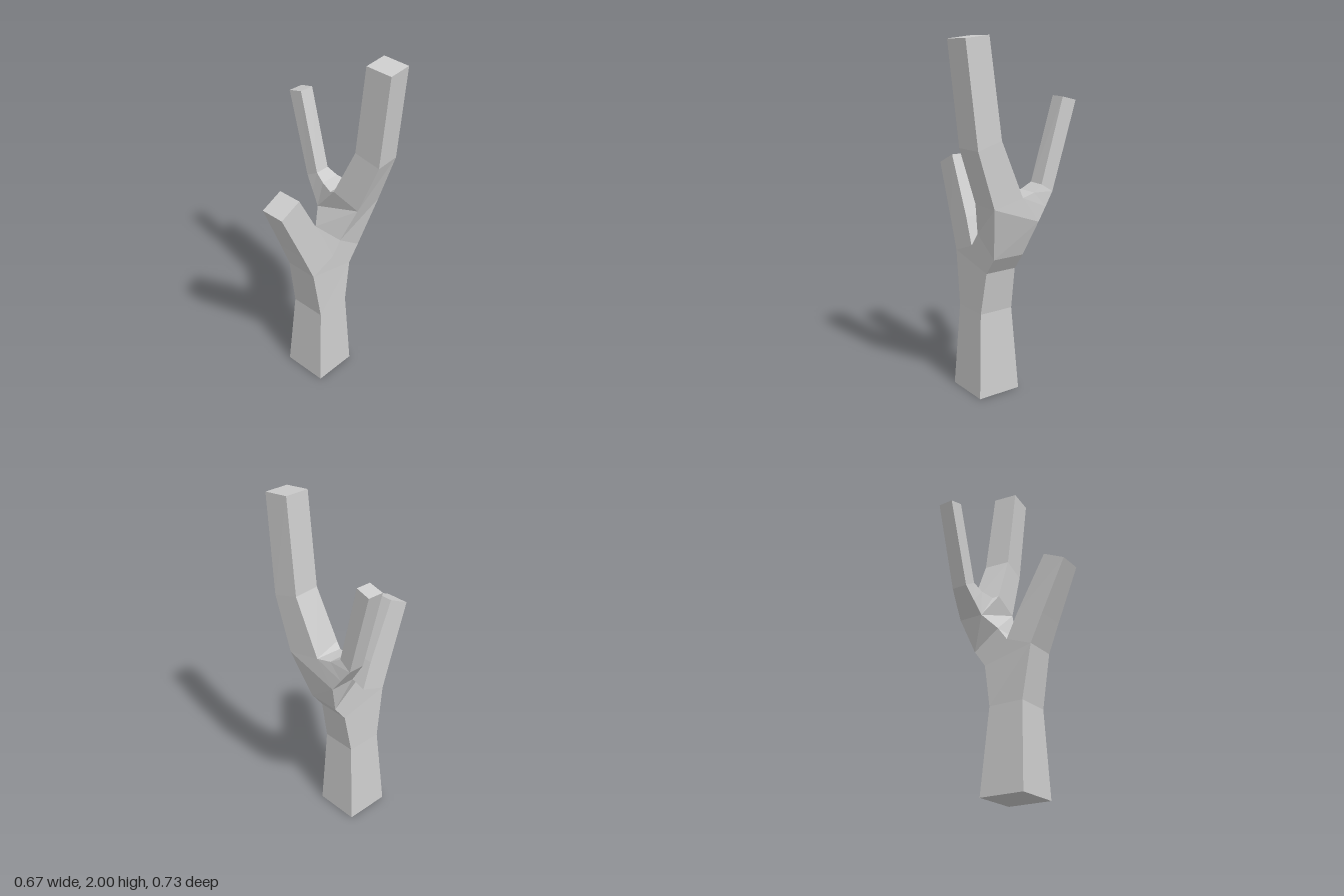
import * as THREE from 'three';

const material = new THREE.MeshStandardMaterial({ color: 0xcccccc, flatShading: true });

// Four-cornered ring: a = left [x, y], b = right [x, y], front and back z.
// Corner order: front left, front right, back right, back left.
const ring = (a, b, front, back) => [[...a, front], [...b, front], [...b, back], [...a, back]];

function part(name, triangles) {
  const geometry = new THREE.BufferGeometry();
  geometry.setAttribute('position', new THREE.Float32BufferAttribute(triangles.flat(2), 3));
  geometry.computeVertexNormals();
  const mesh = new THREE.Mesh(geometry, material);
  mesh.name = name;
  return mesh;
}

// Skin the walls between successive rings, optionally closing the ends.
function limb(name, rings, { bottom = false, top = false } = {}) {
  const triangles = [];
  for (let r = 0; r < rings.length - 1; r++) {
    for (let i = 0; i < 4; i++) {
      const j = (i + 1) % 4, lo = rings[r], hi = rings[r + 1];
      triangles.push([lo[i], lo[j], hi[j]], [lo[i], hi[j], hi[i]]);
    }
  }
  if (bottom) {
    const [p, q, s, t] = rings[0];
    triangles.push([p, s, q], [p, t, s]);
  }
  if (top) {
    const [p, q, s, t] = rings[rings.length - 1];
    triangles.push([p, q, s], [p, s, t]);
  }
  return part(name, triangles);
}

export function createModel() {
  const group = new THREE.Group();
  group.name = 'bareTree';

  // Lower fork: outer edges and the crotch between them
  const left = [-0.13, 0.80], crotch = [0.025, 0.86], right = [0.17, 0.735];
  const zf = 0.135, zb = -0.055;

  // Upper fork corners and its crotch
  const FL = [0.155, 1.13, 0.195], FR = [0.33, 1.13, 0.195];
  const BR = [0.305, 1.02, -0.11], BL = [0.16, 1.02, -0.11];
  const crotchR = [0.31, 1.165, 0], crotchL = [0.14, 1.19, 0.03], crotchB = [0.155, 1.165, -0.01];

  // Trunk
  group.add(limb('trunk', [
    ring([-0.105, 0], [0.16, 0], 0.172, -0.094),
    ring([-0.08, 0.49], [0.13, 0.49], 0.146, -0.062),
    ring(left, right, zf, zb),
  ], { bottom: true }));

  // Triangles filling the front and back of the lower fork
  const [lf, rf, rb, lb] = ring(left, right, zf, zb);
  group.add(part('lowerFork', [[lf, rf, [...crotch, zf]], [rb, lb, [...crotch, zb]]]));

  // Short branch on the -x side
  group.add(limb('sideBranch', [
    ring(left, crotch, zf, zb),
    ring([-0.20, 0.965], [-0.04, 1.01], 0.126, -0.047),
    ring([-0.335, 1.272], [-0.208, 1.333], 0.108, -0.032),
  ], { top: true }));

  // Main limb leading to the upper fork
  group.add(limb('mainLimb', [
    ring(crotch, right, zf, zb),
    ring([0.085, 0.94], [0.24, 0.83], zf, zb),
    [FL, FR, BR, BL],
  ]));

  // Triangles filling the upper fork
  group.add(part('upperFork', [
    [FR, BR, crotchR],
    [BL, FL, crotchL],
    [BL, crotchL, crotchB],
    [crotchL, crotchR, crotchB],
  ]));

  // Tall front branch
  group.add(limb('tallBranch', [
    [FL, FR, crotchR, crotchL],
    [[0.178, 1.44, 0.308], [0.332, 1.44, 0.296], [0.318, 1.48, 0.142], [0.163, 1.48, 0.156]],
    [[0.163, 1.982, 0.363], [0.31, 1.987, 0.352], [0.298, 2, 0.205], [0.15, 1.995, 0.217]],
  ], { top: true }));

  // Thin back branch
  group.add(limb('thinBranch', [
    [crotchB, crotchR, BR, BL],
    [[0.177, 1.18, -0.087], [0.295, 1.18, -0.087], [0.295, 1.095, -0.165], [0.175, 1.095, -0.165]],
    [[0.19, 1.215, -0.145], [0.28, 1.215, -0.147], [0.283, 1.17, -0.22], [0.19, 1.17, -0.22]],
    [[0.2, 1.675, -0.278], [0.286, 1.675, -0.276], [0.29, 1.653, -0.362], [0.2, 1.653, -0.365]],
  ], { top: true }));

  return group;
}
